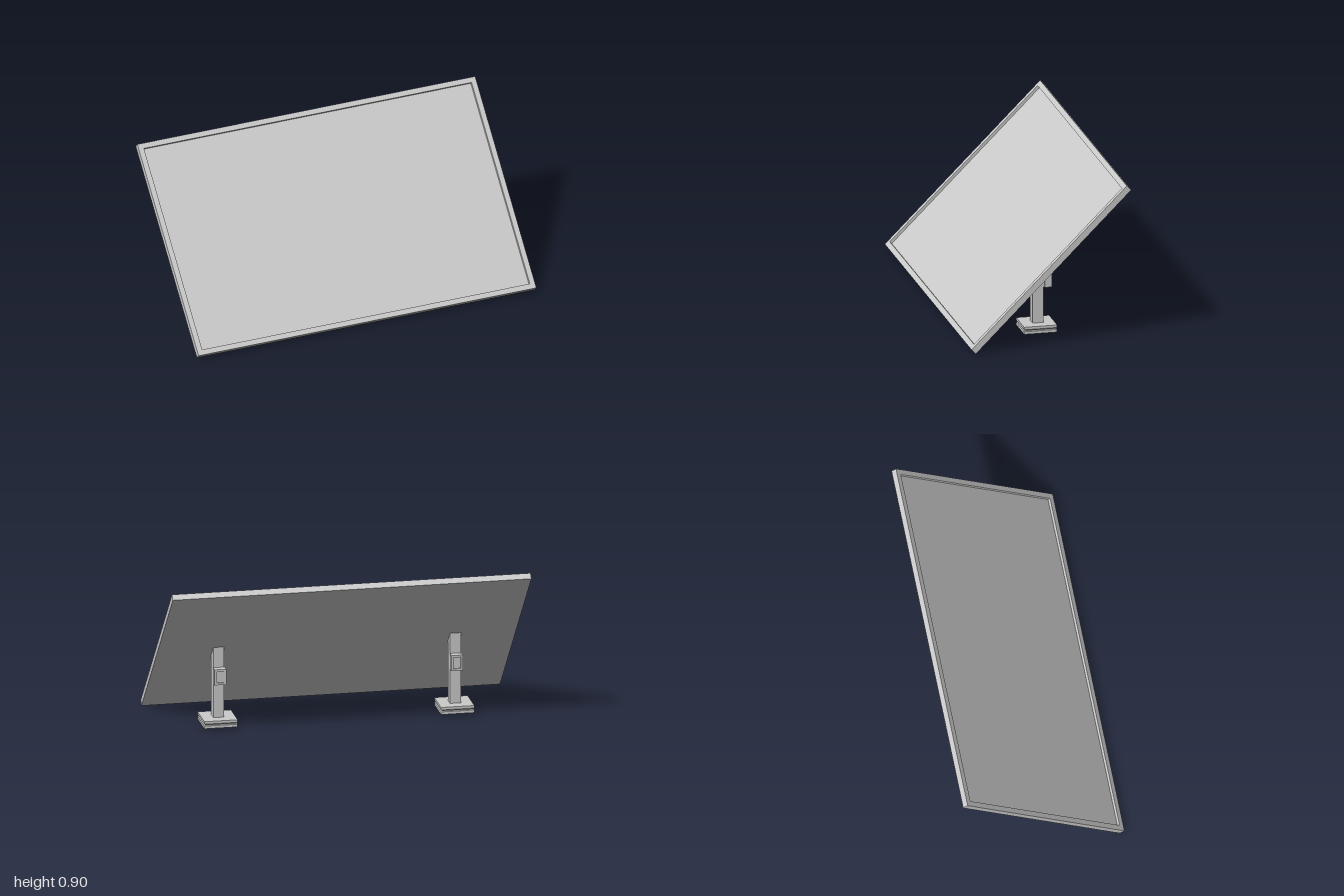
import * as THREE from 'three';

const grey = new THREE.MeshStandardMaterial({ color: 0xcccccc, flatShading: true });

function add(parent, name, geometry, x = 0, y = 0, z = 0) {
  const mesh = new THREE.Mesh(geometry, grey);
  mesh.name = name;
  mesh.position.set(x, y, z);
  parent.add(mesh);
  return mesh;
}

// Rectangular ring extruded along z from 0 to depth
function ringGeometry(w, h, border, depth) {
  const rect = (C, a, b) => {
    const p = new C();
    p.moveTo(-a, -b).lineTo(a, -b).lineTo(a, b).lineTo(-a, b).closePath();
    return p;
  };
  const shape = rect(THREE.Shape, w / 2, h / 2);
  shape.holes.push(rect(THREE.Path, w / 2 - border, h / 2 - border));
  return new THREE.ExtrudeGeometry(shape, { depth, bevelEnabled: false });
}

// Tilted board: raised rim around a sunken face, flush at the back
function createPanel() {
  const panel = new THREE.Group();
  panel.name = 'panel';
  const length = 1.237, thick = 0.035, rim = 0.03, recess = 0.016;
  add(panel, 'panelFrame', ringGeometry(2, length, rim, thick), 0, 0, -thick / 2);
  add(panel, 'panelFace',
    new THREE.BoxGeometry(2 - 2 * rim, length - 2 * rim, thick - recess), 0, 0, -recess / 2);
  panel.position.y = 0.45;
  panel.rotation.x = -Math.PI / 4;
  return panel;
}

// Post on a grooved square foot, with a small box on its back
function createStand(name, x) {
  const stand = new THREE.Group();
  stand.name = name;
  stand.position.x = x;

  // Square foot: two plates with a V groove between them
  const profile = [[0, 0.012], [0.093, 0.012], [0.093, 0.0275], [0.085, 0.0305],
    [0.093, 0.0385], [0.093, 0.053], [0, 0.053]]
    .map(([r, y]) => new THREE.Vector2(r * Math.SQRT2, y));
  add(stand, 'foot', new THREE.LatheGeometry(profile, 4, Math.PI / 4));

  // Post with its top cut to the slope of the panel (side outline in z, y)
  const side = new THREE.Shape();
  side.moveTo(-0.03, 0.05).lineTo(0.03, 0.05).lineTo(0.03, 0.405).lineTo(-0.03, 0.465).closePath();
  const post = new THREE.ExtrudeGeometry(side, { depth: 0.06, bevelEnabled: false });
  post.translate(0, 0, -0.03).rotateY(-Math.PI / 2);
  add(stand, 'post', post);

  // Control box with a sunken cover
  const w = 0.065, h = 0.089, y = 0.2975;
  add(stand, 'boxMount', new THREE.BoxGeometry(w - 0.008, h - 0.004, 0.012), 0, y, -0.034);
  add(stand, 'boxShell', ringGeometry(w, h, 0.012, 0.04), 0, y, -0.078);
  add(stand, 'boxCover', new THREE.BoxGeometry(w - 0.024, h - 0.024, 0.032), 0, y, -0.054);
  return stand;
}

export function createModel() {
  const model = new THREE.Group();
  model.name = 'solarPanel';
  model.add(createPanel(), createStand('leftStand', 0.66), createStand('rightStand', -0.66));
  return model;
}
